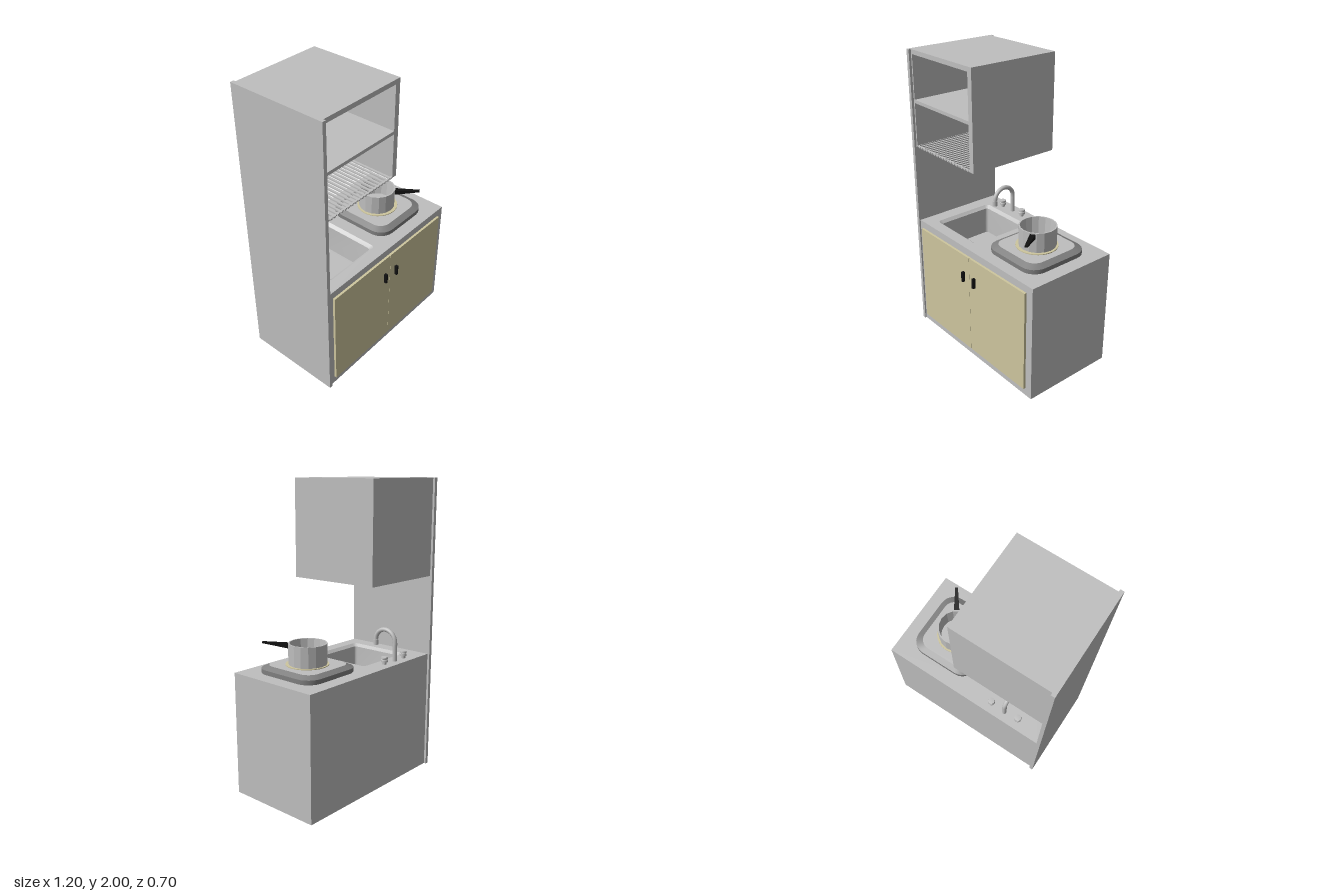
import * as THREE from 'three';
import { toCreasedNormals } from 'three/addons/utils/BufferGeometryUtils.js';

const mat = (name, color) => {
  const m = new THREE.MeshStandardMaterial({ color });
  m.name = name;
  return m;
};

// Rounded rectangle in plan, counter-clockwise seen from above (shape y is -z)
function roundedRect(x0, x1, z0, z1, r) {
  const pts = [];
  const corners = [[x1 - r, -z0 - r], [x0 + r, -z0 - r], [x0 + r, -z1 + r], [x1 - r, -z1 + r]];
  corners.forEach(([cx, cy], k) => {
    for (let i = 0; i <= 6; i++) {
      const a = (k + i / 6) * Math.PI / 2;
      pts.push(new THREE.Vector2(cx + r * Math.cos(a), cy + r * Math.sin(a)));
    }
  });
  return pts;
}

// Skin through plan outlines, each at its own height
function loft(rings) {
  const pos = [];
  for (let k = 0; k + 1 < rings.length; k++) {
    const [p, y0] = rings[k], [q, y1] = rings[k + 1];
    for (let i = 0; i < p.length; i++) {
      const j = (i + 1) % p.length;
      const a = [p[i].x, y0, -p[i].y], b = [p[j].x, y0, -p[j].y];
      const c = [q[j].x, y1, -q[j].y], d = [q[i].x, y1, -q[i].y];
      pos.push(...a, ...b, ...c, ...a, ...c, ...d);
    }
  }
  const g = new THREE.BufferGeometry();
  g.setAttribute('position', new THREE.Float32BufferAttribute(pos, 3));
  return toCreasedNormals(g, 0.5);
}

const flatCap = (pts, y) =>
  new THREE.ShapeGeometry(new THREE.Shape(pts)).rotateX(-Math.PI / 2).translate(0, y, 0);

export function createModel() {
  const root = new THREE.Group();
  root.name = 'kitchenette';
  const grey = mat('light grey', 0xbfbfbf);
  const dark = mat('dark grey', 0x808080);
  const tan = mat('tan', 0xcec69e);
  const black = mat('black', 0x111111);

  const add = (name, geo, m, parent = root) => {
    const mesh = new THREE.Mesh(geo, m);
    mesh.name = name;
    parent.add(mesh);
    return mesh;
  };
  const box = (name, m, x0, x1, y0, y1, z0, z1, parent) => {
    const g = new THREE.BoxGeometry(x1 - x0, y1 - y0, z1 - z0);
    g.translate((x0 + x1) / 2, (y0 + y1) / 2, (z0 + z1) / 2);
    return add(name, g, m, parent);
  };
  const group = (name) => {
    const g = new THREE.Group();
    g.name = name;
    root.add(g);
    return g;
  };

  // Tall side panel
  box('sidePanel', grey, -0.6, -0.575, 0, 2, -0.352, 0.326);

  // Base cabinet: solid lower block, upper block pierced by the sink
  const base = group('baseCabinet');
  box('cabinetBody', grey, -0.575, 0.6, 0, 0.6, -0.337, 0.315, base);
  const top = new THREE.Shape([[-0.575, -0.315], [0.6, -0.315], [0.6, 0.337], [-0.575, 0.337]]
    .map(([x, y]) => new THREE.Vector2(x, y)));
  const sinkRim = roundedRect(-0.48, -0.045, -0.205, 0.235, 0.03);
  top.holes.push(new THREE.Path(sinkRim));
  const topGeo = new THREE.ExtrudeGeometry(top, { depth: 0.213, bevelEnabled: false });
  add('countertop', topGeo.rotateX(-Math.PI / 2).translate(0, 0.6, 0), grey, base);

  // Sink basin with a softened lip
  const sink = group('sink');
  const sinkWall = roundedRect(-0.458, -0.067, -0.183, 0.213, 0.02);
  const sinkFloor = roundedRect(-0.45, -0.075, -0.175, 0.205, 0.02);
  add('basinWalls', loft([[sinkRim, 0.813], [sinkWall, 0.795], [sinkFloor, 0.61]]), grey, sink);
  add('basinFloor', flatCap(sinkFloor, 0.61), grey, sink);

  // Doors and their handles
  const doors = group('doors');
  box('rightDoor', tan, -0.542, 0.0015, 0.055, 0.763, 0.314, 0.331, doors);
  box('leftDoor', tan, 0.003, 0.547, 0.055, 0.763, 0.314, 0.331, doors);
  for (const x of [-0.053, 0.059]) {
    box('doorHandle', black, x - 0.008, x + 0.008, 0.57, 0.641, 0.33, 0.35, doors);
  }

  // Faucet: riser, arched spout and nozzle
  const faucet = group('faucet');
  const arc = new THREE.CurvePath();
  const V = (y, z) => new THREE.Vector3(-0.28, y, z);
  const path = [V(0.81, -0.275), V(0.86, -0.275), V(0.91, -0.275)];
  for (let i = 0; i <= 8; i++) {
    const a = Math.PI * (1 - i / 8);
    path.push(V(0.935 + 0.08 * Math.sin(a), -0.195 + 0.08 * Math.cos(a)));
  }
  path.push(V(0.905, -0.115));
  const curve = new THREE.CatmullRomCurve3(path);
  add('spout', new THREE.TubeGeometry(curve, 40, 0.015, 12), grey, faucet);
  const nozzle = new THREE.CylinderGeometry(0.018, 0.018, 0.035, 14);
  add('nozzle', nozzle, grey, faucet).position.set(-0.28, 0.918, -0.115);
  const knobProfile = [[0.015, 0], [0.015, 0.018], [0.024, 0.02], [0.024, 0.034], [0.02, 0.037],
    [0.024, 0.04], [0.022, 0.052], [0, 0.054]].map(([x, y]) => new THREE.Vector2(x, y));
  for (const x of [-0.382, -0.175]) {
    const knob = toCreasedNormals(new THREE.LatheGeometry(knobProfile, 14), 0.6);
    add('tapKnob', knob, grey, faucet).position.set(x, 0.81, -0.27);
  }

  // Cooktop: dark sloped border, light plate, tan heating disc
  const stove = group('cooktop');
  const outer = roundedRect(0.043, 0.505, -0.242, 0.231, 0.1);
  const inner = roundedRect(0.083, 0.463, -0.202, 0.19, 0.075);
  add('cooktopBorder', loft([[outer, 0.812], [outer, 0.842], [inner, 0.861]]), dark, stove);
  add('cooktopPlate', flatCap(inner, 0.861), grey, stove);
  const disc = new THREE.CylinderGeometry(0.138, 0.138, 0.006, 28);
  add('heatingDisc', disc, tan, stove).position.set(0.277, 0.863, -0.007);

  // Pot with faceted walls
  const pot = group('pot');
  const potProfile = [[0, 0], [0.122, 0], [0.124, 0.135], [0.115, 0.135], [0.105, 0.012], [0, 0.012]]
    .map(([x, y]) => new THREE.Vector2(x, y));
  const potGeo = new THREE.LatheGeometry(potProfile, 16).toNonIndexed();
  potGeo.computeVertexNormals();
  add('potBody', potGeo, grey, pot).position.set(0.277, 0.866, -0.012);

  // Pot handle, narrowing and rising toward its tip
  const handle = new THREE.BoxGeometry(0.036, 0.03, 0.165);
  const hp = handle.attributes.position;
  for (let i = 0; i < hp.count; i++) {
    if (hp.getZ(i) > 0) {
      hp.setX(i, hp.getX(i) * 0.5);
      hp.setY(i, hp.getY(i) * 0.3 + 0.016);
    }
  }
  handle.computeVertexNormals();
  const handleMesh = add('potHandle', handle, black, pot);
  handleMesh.position.set(0.391, 0.979, 0.16);
  handleMesh.rotation.y = 0.6;

  // Wall cabinet: open front, one shelf
  const upper = group('wallCabinet');
  box('cabinetTop', grey, -0.575, 0.047, 1.97, 2, -0.337, 0.31, upper);
  box('cabinetLeftWall', grey, 0.01, 0.047, 1.355, 1.97, -0.337, 0.31, upper);
  box('cabinetRightWall', grey, -0.575, -0.565, 1.355, 1.97, -0.337, 0.31, upper);
  box('cabinetBack', grey, -0.565, 0.01, 1.355, 1.97, -0.337, -0.317, upper);
  box('shelf', grey, -0.565, 0.01, 1.655, 1.677, -0.317, 0.31, upper);

  // Slatted rack forming the cabinet's bottom
  for (let i = 0; i < 20; i++) {
    const x = -0.567 + i * 0.0295;
    box('rackSlat', grey, x - 0.007, x + 0.007, 1.355, 1.365, -0.32, 0.314, upper);
  }
  box('rackFrontRail', grey, -0.565, 0.01, 1.356, 1.364, 0.298, 0.31, upper);

  return root;
}
